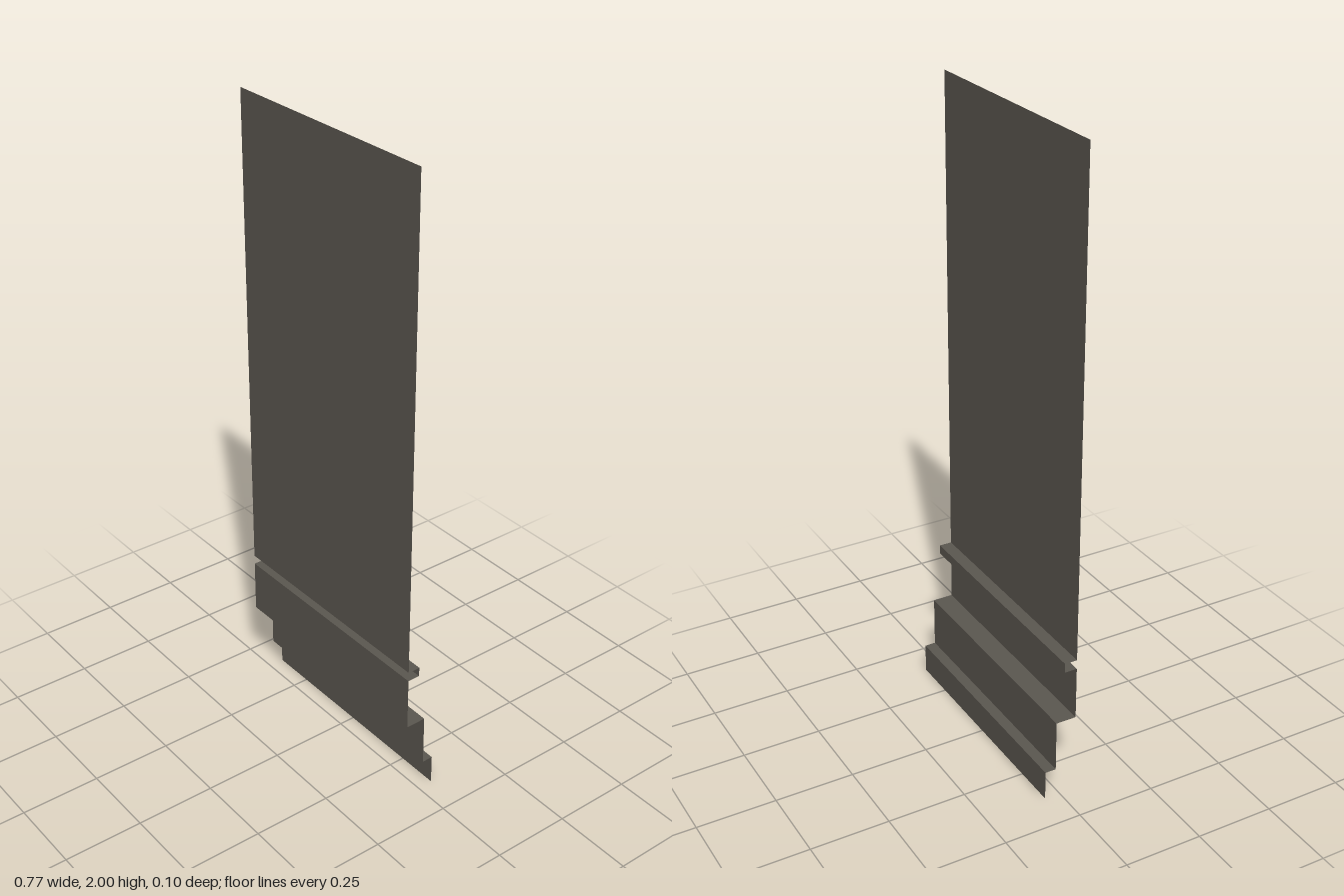
import * as THREE from 'three';

const WIDTH = 0.77;

export function createModel() {
  const group = new THREE.Group();
  const siding = new THREE.MeshStandardMaterial({ color: 0x5b5750, side: THREE.DoubleSide });
  siding.name = 'dark grey-brown siding';

  // Upright strip facing the front
  function face(name, y0, y1, z) {
    const mesh = new THREE.Mesh(new THREE.PlaneGeometry(WIDTH, y1 - y0), siding);
    mesh.name = name;
    mesh.position.set(0, (y0 + y1) / 2, z);
    group.add(mesh);
  }

  // Level strip joining two upright strips, facing up (1) or down (-1)
  function ledge(name, y, z0, z1, facing) {
    const geometry = new THREE.PlaneGeometry(WIDTH, z1 - z0).rotateX(-facing * Math.PI / 2);
    const mesh = new THREE.Mesh(geometry, siding);
    mesh.name = name;
    mesh.position.set(0, y, (z0 + z1) / 2);
    group.add(mesh);
  }

  // Tall panel and the groove beneath it
  face('mainPanel', 0.46, 2, 0.05);
  ledge('grooveTop', 0.46, 0.01, 0.05, -1);
  face('grooveBack', 0.43, 0.46, 0.01);
  ledge('grooveBottom', 0.43, 0.01, 0.05, 1);

  // Base bands, each stepping further back
  face('upperBand', 0.26, 0.43, 0.05);
  ledge('upperStep', 0.26, -0.015, 0.05, -1);
  face('middleBand', 0.095, 0.26, -0.015);
  ledge('lowerStep', 0.095, -0.05, -0.015, -1);
  face('lowerBand', 0, 0.095, -0.05);

  return group;
}
